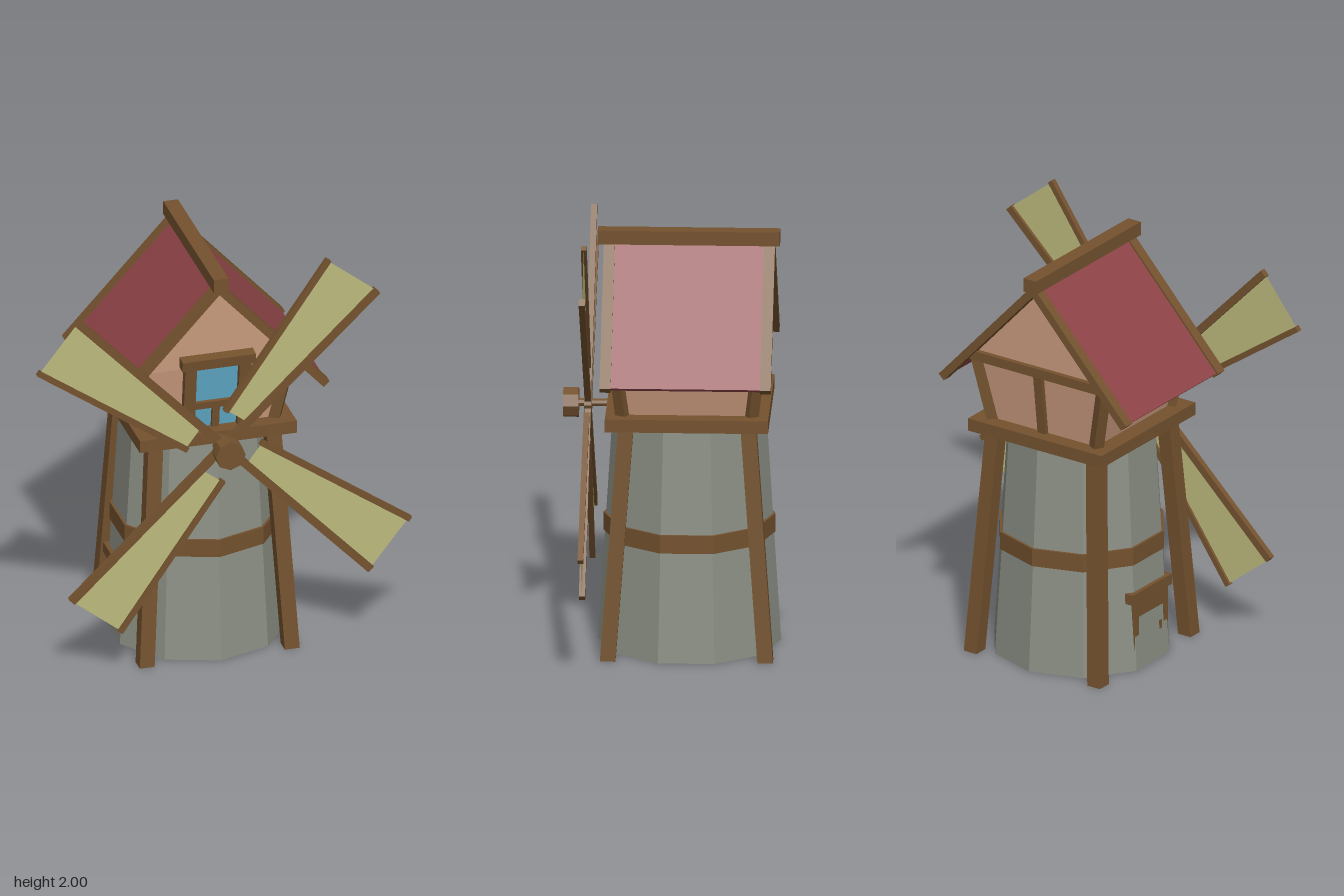
import * as THREE from 'three';

const flat = (name, color, side = THREE.FrontSide) => {
  const m = new THREE.MeshStandardMaterial({ color, side, flatShading: true });
  m.name = name;
  return m;
};

export function createModel() {
  const stone = flat('stone', 0x8c9085, THREE.DoubleSide);
  const wood = flat('wood', 0x74522e);
  const plaster = flat('plaster', 0xc8997d);
  const roofRed = flat('roofRed', 0x8f4448);
  const canvas = flat('canvas', 0xbcb97c, THREE.DoubleSide);
  const glass = flat('glass', 0x5fabc9);
  const dark = flat('dark', 0x0a0a0a);

  const model = new THREE.Group();
  model.name = 'windmill';
  const body = new THREE.Group();
  body.name = 'body';
  body.position.z = -0.08;
  model.add(body);

  const add = (parent, name, geo, mat, x = 0, y = 0, z = 0) => {
    const mesh = new THREE.Mesh(geo, mat);
    mesh.name = name;
    mesh.position.set(x, y, z);
    parent.add(mesh);
    return mesh;
  };
  const box = (parent, name, mat, w, h, d, x, y, z) =>
    add(parent, name, new THREE.BoxGeometry(w, h, d), mat, x, y, z);
  // Straight bar from a to b: w is its level width, h its other thickness
  const bar = (parent, name, mat, a, b, w, h) => {
    const from = new THREE.Vector3(...a), to = new THREE.Vector3(...b);
    const mesh = new THREE.Mesh(new THREE.BoxGeometry(w, h, from.distanceTo(to)), mat);
    mesh.name = name;
    mesh.position.copy(from).lerp(to, 0.5);
    mesh.lookAt(to);
    parent.add(mesh);
    return mesh;
  };

  // Ten-sided stone tower with a wooden band and a square platform
  add(body, 'tower', new THREE.CylinderGeometry(0.347, 0.415, 1.1, 10, 1, true), stone, 0, 0.55, 0);
  add(body, 'band', new THREE.CylinderGeometry(0.39, 0.39, 0.085, 10), wood, 0, 0.555, 0);
  box(body, 'platform', wood, 0.74, 0.06, 0.74, 0, 1.113, 0);

  // Leaning legs and flared corner posts of the cabin
  for (const sx of [-1, 1]) for (const sz of [-1, 1]) {
    const legGeo = new THREE.BoxGeometry(0.07, 1.1, 0.07);
    const p = legGeo.attributes.position;
    for (let i = 0; i < p.count; i++) {
      const t = p.getY(i) / 1.1 + 0.5;
      p.setX(i, p.getX(i) + sx * (0.342 - 0.065 * t));
      p.setZ(i, p.getZ(i) + sz * (0.357 - 0.08 * t));
    }
    legGeo.computeVertexNormals();
    add(body, 'leg', legGeo, wood, 0, 0.55, 0);
    bar(body, 'cornerPost', wood, [sx * 0.285, 1.13, sz * 0.29], [sx * 0.355, 1.46, sz * 0.328], 0.05, 0.05);
  }

  // Cabin walls flare outwards up to the eaves
  const wallGeo = new THREE.BoxGeometry(2, 0.33, 2);
  const wp = wallGeo.attributes.position;
  for (let i = 0; i < wp.count; i++) {
    const top = wp.getY(i) > 0;
    wp.setX(i, wp.getX(i) * (top ? 0.36 : 0.285));
    wp.setZ(i, wp.getZ(i) * (top ? 0.333 : 0.293));
  }
  wallGeo.computeVertexNormals();
  add(body, 'cabinWalls', wallGeo, plaster, 0, 1.295, 0);

  // Gable under the roof
  const gable = new THREE.Shape([[-0.36, 1.46], [0.36, 1.46], [0, 1.86]].map(q => new THREE.Vector2(...q)));
  add(body, 'gable', new THREE.ExtrudeGeometry(gable, { depth: 0.666, bevelEnabled: false }), plaster, 0, 0, -0.333);

  // Timber on the back wall
  box(body, 'backBeam', wood, 0.74, 0.045, 0.04, 0, 1.455, -0.338);
  bar(body, 'backPost', wood, [0, 1.14, -0.295], [0, 1.45, -0.333], 0.045, 0.04);

  // Roof slopes, edge boards and ridge
  for (const sx of [-1, 1]) {
    bar(body, 'roofSlope', roofRed, [0, 1.87, 0], [sx * 0.5, 1.325, 0], 0.68, 0.02);
    for (const z of [-0.363, 0.363])
      bar(body, 'roofEdge', wood, [0, 1.87, z], [sx * 0.505, 1.32, z], 0.05, 0.038);
  }
  box(body, 'ridge', wood, 0.07, 0.065, 0.825, 0, 1.903, 0.003);

  // Front window, leaning with the wall
  const win = new THREE.Group();
  win.name = 'window';
  win.position.set(0, 1.145, 0.295);
  win.rotation.x = 0.122;
  body.add(win);
  box(win, 'pane', glass, 0.21, 0.33, 0.008, 0, 0.165, 0.004);
  for (const x of [-0.128, 0.128]) box(win, 'windowSide', wood, 0.055, 0.33, 0.05, x, 0.165, 0.01);
  box(win, 'windowTop', wood, 0.345, 0.05, 0.07, 0, 0.357, 0.01);
  box(win, 'windowRail', wood, 0.21, 0.035, 0.03, 0, 0.122, 0.01);
  box(win, 'windowBar', wood, 0.035, 0.11, 0.03, 0, 0.05, 0.01);

  // Door on the right side of the tower
  const door = new THREE.Group();
  door.name = 'door';
  body.add(door);
  box(door, 'doorRecess', dark, 0.1, 0.3, 0.26, -0.3, 0.151, 0);
  box(door, 'doorPanel', wood, 0.03, 0.33, 0.2, -0.365, 0.166, 0);
  for (const z of [-0.115, 0.115]) box(door, 'doorSide', wood, 0.06, 0.33, 0.035, -0.355, 0.166, z);
  box(door, 'doorTop', wood, 0.07, 0.05, 0.31, -0.357, 0.355, 0);
  box(door, 'handle', wood, 0.012, 0.04, 0.015, -0.384, 0.16, 0.07);

  // Rotor: shaft, collar, cap and four sails
  const rotor = new THREE.Group();
  rotor.name = 'rotor';
  rotor.position.set(0, 1.113, 0.38);
  model.add(rotor);
  const axle = (name, r, len, z) =>
    add(rotor, name, new THREE.CylinderGeometry(r, r, len, 8), wood, 0, 0, z).rotation.x = Math.PI / 2;
  axle('shaft', 0.018, 0.3, -0.06);
  axle('collar', 0.05, 0.035, 0);
  axle('cap', 0.07, 0.07, 0.077);
  axle('capShaft', 0.018, 0.06, 0.03);

  const cloth = new THREE.Shape([[0.11, 0.105], [0.72, 0.688], [0.495, 0.865], [0.01, 0.18]]
    .map(q => new THREE.Vector2(...q)));
  for (let i = 0; i < 4; i++) {
    const sail = new THREE.Group();
    sail.name = 'sail';
    sail.rotation.z = i * Math.PI / 2;
    rotor.add(sail);
    add(sail, 'cloth', new THREE.ShapeGeometry(cloth), canvas);
    bar(sail, 'mainSpar', wood, [0, 0, 0], [0.72, 0.69, 0], 0.028, 0.036);
    bar(sail, 'outerSpar', wood, [0.006, 0.174, 0], [0.492, 0.876, 0], 0.026, 0.026);
  }
  return model;
}
